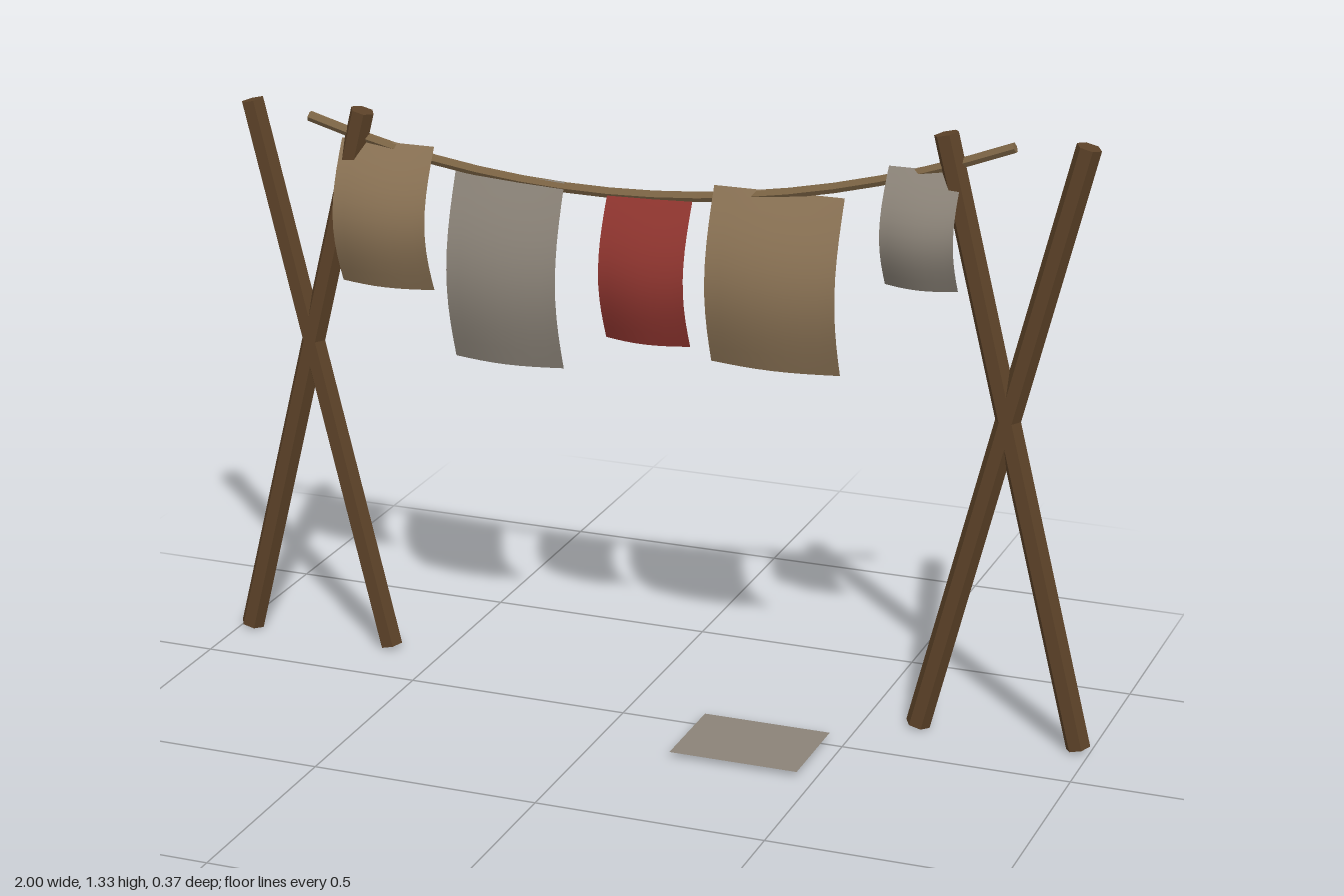
import * as THREE from 'three';

const Z = -0.163; // plane of the rack

function material(name, color, opts = {}) {
  const m = new THREE.MeshStandardMaterial({ color, ...opts });
  m.name = name;
  return m;
}

// Hexagonal pole between two points of the rack plane
function pole(name, mat, x0, y0, x1, y1) {
  const dx = x1 - x0, dy = y1 - y0;
  const geo = new THREE.CylinderGeometry(0.027, 0.027, Math.hypot(dx, dy), 6);
  geo.rotateY(Math.PI / 6);
  const mesh = new THREE.Mesh(geo, mat);
  mesh.position.set((x0 + x1) / 2, (y0 + y1) / 2, Z);
  mesh.rotation.z = -Math.atan2(dx, dy);
  mesh.name = name;
  return mesh;
}

// Cloth hanging from the line, billowing towards the front
function cloth(name, mat, x0, x1, bottom, top) {
  const w = x1 - x0, h = top - bottom;
  const geo = new THREE.PlaneGeometry(w, h, 8, 10);
  const p = geo.attributes.position;
  for (let i = 0; i < p.count; i++) {
    const u = p.getX(i) / w + 0.5;
    const v = 0.5 - p.getY(i) / h;
    p.setZ(i, 0.053 * Math.sin(Math.PI * v) + v * (0.01 + 0.02 * Math.sin(Math.PI * u)));
  }
  geo.computeVertexNormals();
  const mesh = new THREE.Mesh(geo, mat);
  mesh.position.set((x0 + x1) / 2, (top + bottom) / 2, Z);
  mesh.name = name;
  return mesh;
}

export function createModel() {
  const group = new THREE.Group();
  group.name = 'clothesline';

  const wood = material('dark wood', 0x5c4228, { flatShading: true });
  const rope = material('rope', 0x7d6545, { flatShading: true });
  const double = { side: THREE.DoubleSide };
  const tan = material('tan cloth', 0x8b7355, double);
  const grey = material('grey cloth', 0x8b8378, double);
  const red = material('red cloth', 0x8f352f, double);

  // Crossed end poles
  group.add(
    pole('rightPoleOuter', wood, -0.973, 0.0065, -0.668, 1.245),
    pole('rightPoleInner', wood, -0.625, 0.0065, -0.932, 1.245),
    pole('leftPoleInner', wood, 0.618, 0.0065, 0.945, 1.32),
    pole('leftPoleOuter', wood, 0.973, 0.0065, 0.645, 1.32),
  );

  // Sagging line
  const curve = new THREE.QuadraticBezierCurve3(
    new THREE.Vector3(-0.797, 1.22, Z - 0.004),
    new THREE.Vector3(0, 0.98, Z - 0.004),
    new THREE.Vector3(0.79, 1.303, Z - 0.004),
  );
  const line = new THREE.Mesh(new THREE.TubeGeometry(curve, 16, 0.0115, 6), rope);
  line.name = 'line';
  group.add(line);

  // Caps on the ends of the line
  for (const t of [0, 1]) {
    const cap = new THREE.Mesh(new THREE.CircleGeometry(0.0115, 6), rope);
    cap.position.copy(curve.getPoint(t));
    cap.lookAt(cap.position.clone().addScaledVector(curve.getTangent(t), t ? 1 : -1));
    cap.name = 'lineEnd';
    group.add(cap);
  }

  // Hanging cloths
  group.add(
    cloth('tanClothSmall', tan, -0.718, -0.5, 0.86, 1.18),
    cloth('greyClothLong', grey, -0.45, -0.197, 0.717, 1.133),
    cloth('redCloth', red, -0.098, 0.094, 0.8, 1.123),
    cloth('tanClothLarge', tan, 0.142, 0.43, 0.775, 1.16),
    cloth('greyClothSmall', grey, 0.524, 0.682, 0.988, 1.24),
  );

  // Cloth lying on the ground
  const fallen = new THREE.Mesh(new THREE.PlaneGeometry(0.284, 0.219), grey);
  fallen.rotation.x = -Math.PI / 2;
  fallen.position.set(0.318, 0.011, 0.073);
  fallen.name = 'fallenCloth';
  group.add(fallen);

  return group;
}
